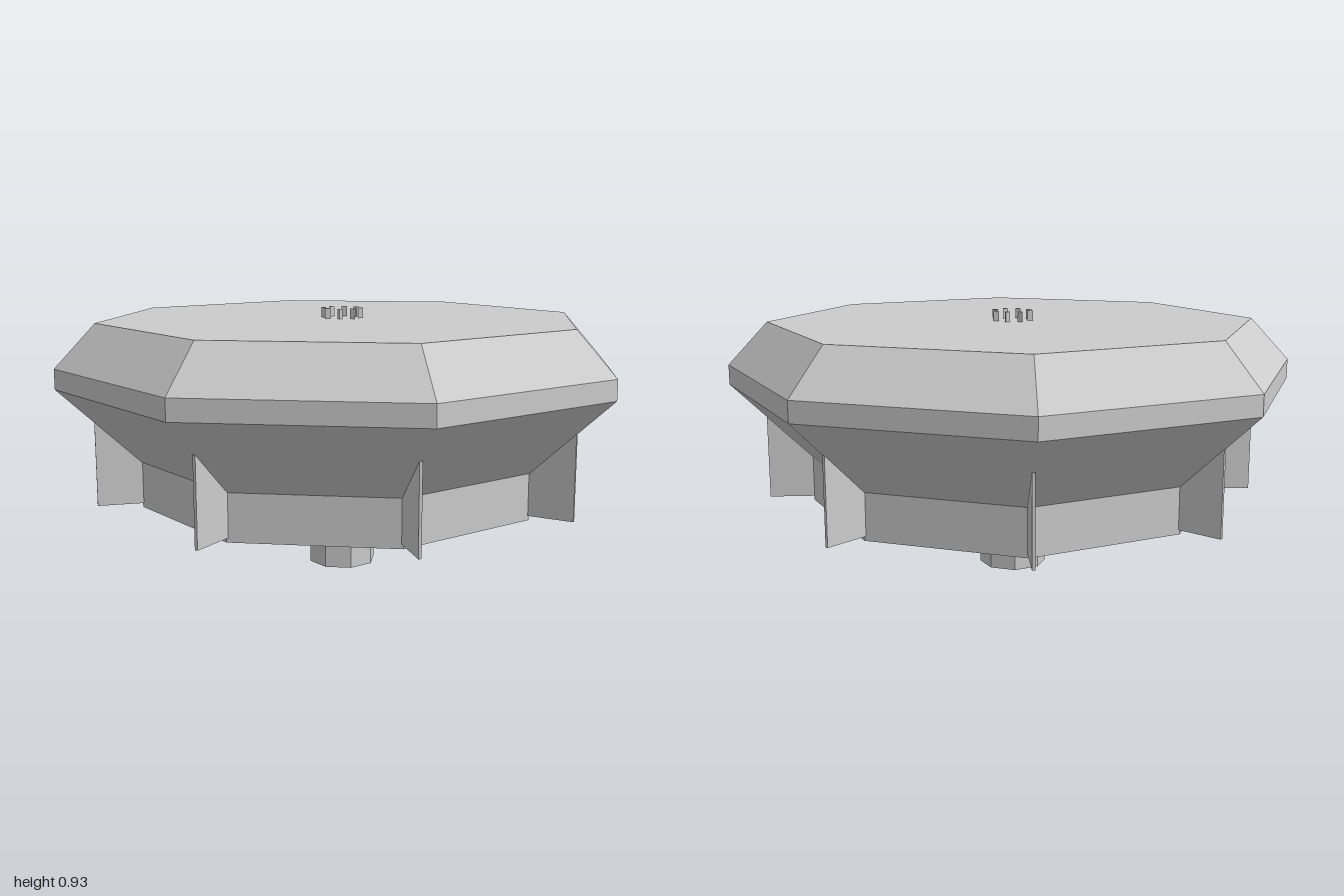
import * as THREE from 'three';

const SIDES = 8;

export function createModel() {
  const model = new THREE.Group();
  const grey = new THREE.MeshStandardMaterial({ color: 0xcccccc, flatShading: true });
  grey.name = 'light grey';

  const add = (name, geometry, parent = model) => {
    const mesh = new THREE.Mesh(geometry, grey);
    mesh.name = name;
    parent.add(mesh);
    return mesh;
  };
  // Octagonal solid turned from [radius, height] pairs, bottom to top
  const turned = (points) =>
    new THREE.LatheGeometry(points.map(([r, y]) => new THREE.Vector2(r, y)), SIDES);

  // Flared body with bevelled rim
  add('body', turned([
    [0, 0.245], [0.72, 0.245], [0.72, 0.405], [1, 0.67], [1, 0.74], [0.86, 0.89], [0, 0.89],
  ]));

  // Stem with a small socket in its foot
  add('stem', turned([
    [0, 0.02], [0.025, 0.02], [0.025, 0], [0.12, 0], [0.12, 0.25],
  ]));

  // Thin fin under the flare at each corner
  const finShape = new THREE.Shape();
  finShape.moveTo(0.7, 0.26);
  finShape.lineTo(0.875, 0.26);
  finShape.lineTo(0.875, 0.553);
  finShape.lineTo(0.72, 0.406);
  finShape.lineTo(0.7, 0.406);
  const finGeometry = new THREE.ExtrudeGeometry(finShape, { depth: 0.01, bevelEnabled: false });
  finGeometry.translate(0, 0, -0.005);

  // Small triangular pins in a ring on top
  const pinGeometry = new THREE.CylinderGeometry(0.011, 0.011, 0.036, 3);
  pinGeometry.rotateY(Math.PI / 2);
  pinGeometry.translate(0.064, 0.907, 0);

  const fins = new THREE.Group();
  fins.name = 'fins';
  const pins = new THREE.Group();
  pins.name = 'topPins';
  model.add(fins, pins);
  for (let i = 0; i < SIDES; i++) {
    const angle = (i / SIDES) * Math.PI * 2;
    add('fin', finGeometry, fins).rotation.y = angle;
    add('pin', pinGeometry, pins).rotation.y = angle + Math.PI / SIDES;
  }
  return model;
}
